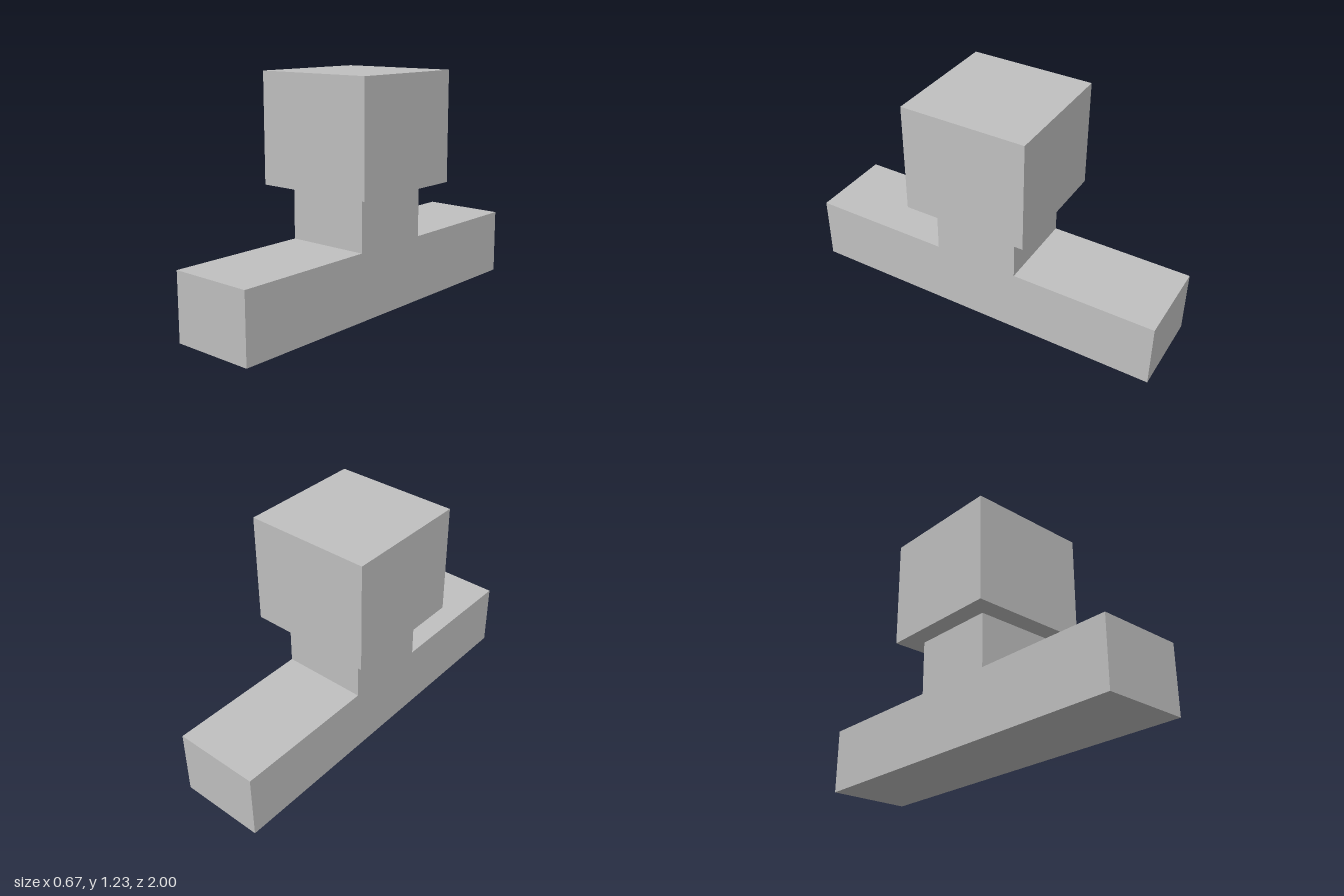
import * as THREE from 'three';

export function createModel() {
  const group = new THREE.Group();
  const grey = new THREE.MeshStandardMaterial({ color: 0xc0c0c0 });
  grey.name = 'light grey';

  const halfWidth = 0.23, baseHeight = 0.355, neckTop = 0.645;
  const headSize = 0.67, headHeight = 0.585;

  // Long base and square neck as one inverted-T profile, extruded across x
  const profile = new THREE.Shape([
    [-1, 0], [1, 0], [1, baseHeight], [halfWidth, baseHeight],
    [halfWidth, neckTop], [-halfWidth, neckTop], [-halfWidth, baseHeight], [-1, baseHeight],
  ].map(([z, y]) => new THREE.Vector2(z, y)));
  const baseGeometry = new THREE.ExtrudeGeometry(profile, { depth: halfWidth * 2, bevelEnabled: false });
  baseGeometry.translate(0, 0, -halfWidth).rotateY(-Math.PI / 2);
  const base = new THREE.Mesh(baseGeometry, grey);
  base.name = 'baseAndNeck';
  group.add(base);

  // Block resting on the neck
  const head = new THREE.Mesh(new THREE.BoxGeometry(headSize, headHeight, headSize), grey);
  head.name = 'headBlock';
  head.position.y = neckTop + headHeight / 2;
  group.add(head);

  return group;
}
